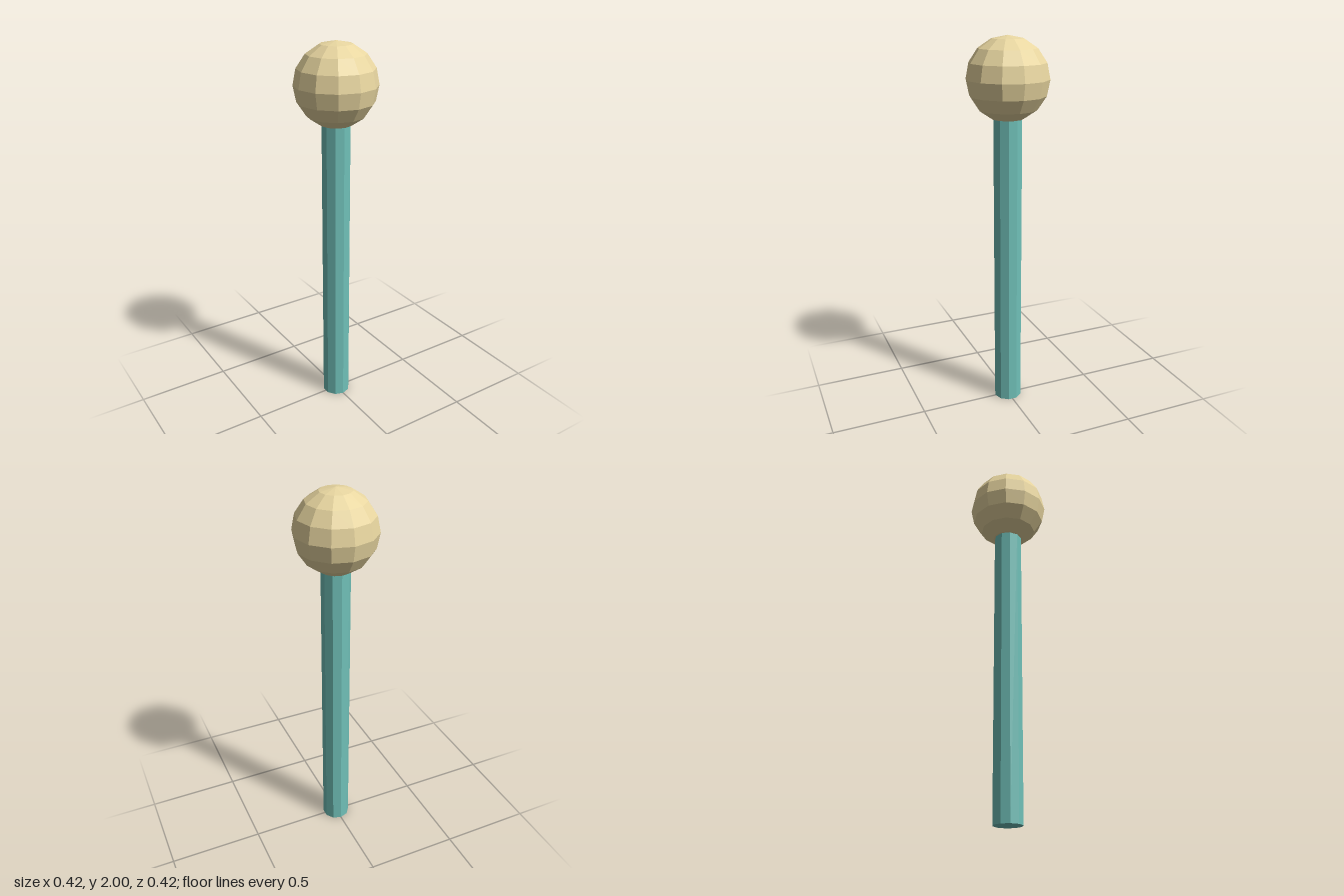
import * as THREE from 'three';

export function createModel() {
  const group = new THREE.Group();
  const headRadius = 0.212, headY = 2 - headRadius;

  const addPart = (name, geometry, color, y) => {
    const material = new THREE.MeshStandardMaterial({ flatShading: true });
    material.color.set(color);
    const mesh = new THREE.Mesh(geometry, material);
    mesh.name = name;
    mesh.position.y = y;
    group.add(mesh);
  };

  // ten-sided post, its top hidden inside the head
  const postHeight = 1.64;
  addPart('post', new THREE.CylinderGeometry(0.075, 0.075, postHeight, 10), 0x70c0b8, postHeight / 2);

  // faceted ball on top
  addPart('head', new THREE.SphereGeometry(headRadius, 12, 8), 0xe8d6a0, headY);

  return group;
}
